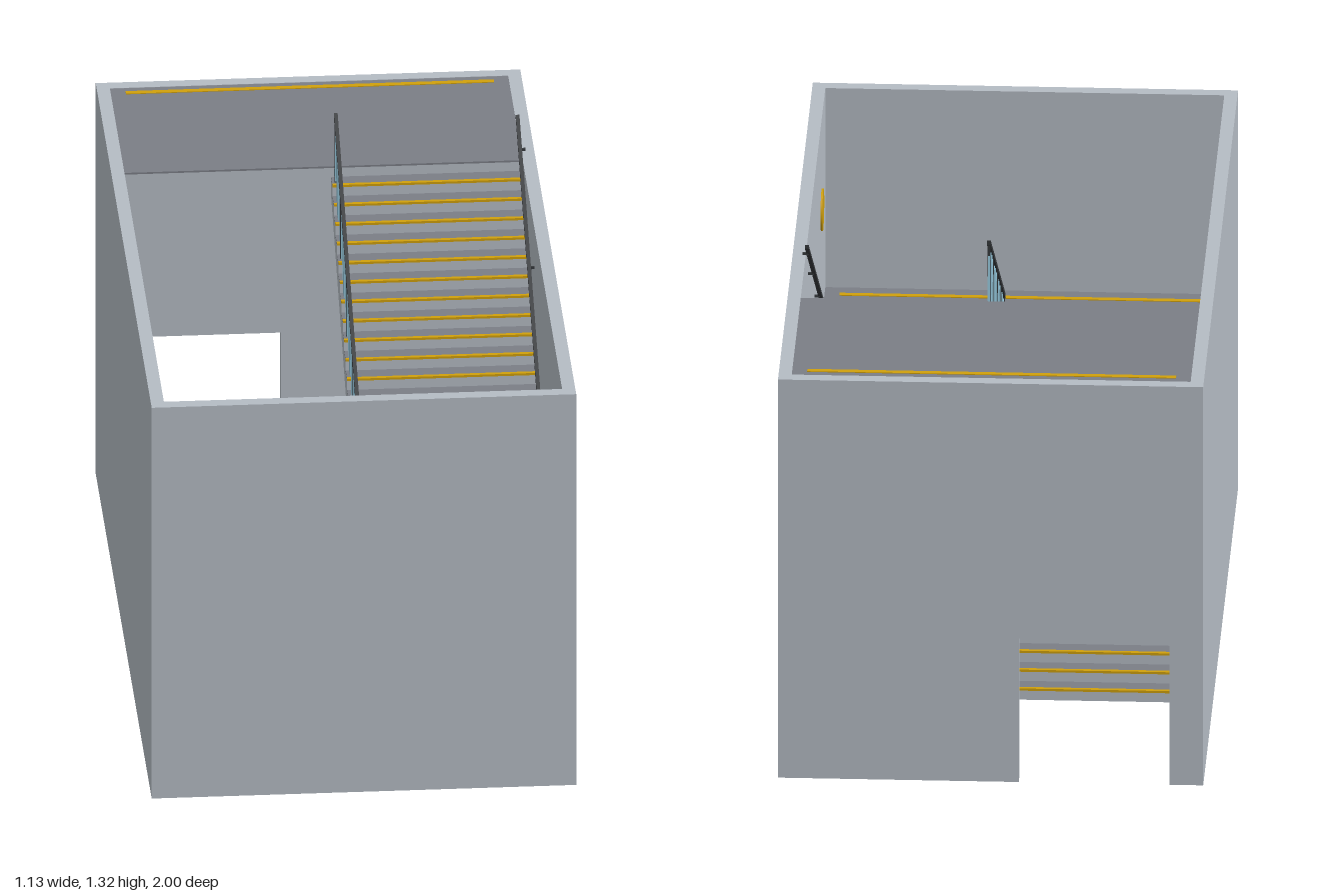
import * as THREE from 'three';

const mat = (name, color) => {
  const m = new THREE.MeshStandardMaterial({ color });
  m.name = name;
  return m;
};

const W = 0.565, T = 0.035, H = 1.15;        // half width, wall thickness, height
const IN = W - T, WELL = 0.02;               // inner wall face, half width of the stairwell gap
const Z0 = -0.446, N = 17;                   // start of a flight, treads per flight
const G = -2 * Z0 / N, R = 0.575 / (N + 1);  // going and rise
const nose = z => R + (z - Z0) * R / G;      // pitch line through the nosings

export function createModel() {
  const wall = mat('pale concrete', 0xb5bcc4);
  const floor = mat('grey floor', 0x7b7e86);
  const yellow = mat('safety yellow', 0xd0a00c);
  const metal = mat('dark metal', 0x35383b);
  const glass = mat('blue glass', 0x8fc0d4);

  const add = (parent, name, geometry, material) => {
    const m = new THREE.Mesh(geometry, material);
    m.name = name;
    parent.add(m);
    return m;
  };
  // box given by its limits
  const box = (parent, name, material, x0, x1, y0, y1, z0, z1) => {
    const g = new THREE.BoxGeometry(x1 - x0, y1 - y0, z1 - z0);
    g.translate((x0 + x1) / 2, (y0 + y1) / 2, (z0 + z1) / 2);
    return add(parent, name, g, material);
  };
  // outline of [z, y] points, extruded across x from x0 to x1
  const across = (parent, name, material, pts, x0, x1) => {
    const s = new THREE.Shape(pts.map(p => new THREE.Vector2(p[0], p[1])));
    const g = new THREE.ExtrudeGeometry(s, { depth: x1 - x0, bevelEnabled: false });
    g.rotateY(-Math.PI / 2);
    g.translate(x1, 0, 0);
    return add(parent, name, g, material);
  };
  // bar parallel to the pitch line, its top "up" above it
  const slopedBar = (parent, name, x, up, size) => across(parent, name, metal, [
    [-0.425, nose(-0.425) + up - size], [0.425, nose(0.425) + up - size],
    [0.425, nose(0.425) + up], [-0.425, nose(-0.425) + up]], x - 0.005, x + 0.005);

  const model = new THREE.Group();
  model.name = 'stairwell';

  // outer walls, the back one with a doorway
  const shell = new THREE.Group();
  shell.name = 'walls';
  model.add(shell);
  box(shell, 'leftWall', wall, IN, W, 0, H, -1 + T, 1 - T);
  box(shell, 'rightWall', wall, -W, -IN, 0, H, -1 + T, 1 - T);
  box(shell, 'frontWall', wall, -W, W, 0, H, 1 - T, 1);
  const back = new THREE.Shape([[-W, 0], [-0.475, 0], [-0.475, 0.415], [-0.075, 0.415],
    [-0.075, 0], [W, 0], [W, H], [-W, H]].map(p => new THREE.Vector2(...p)));
  add(shell, 'backWall', new THREE.ExtrudeGeometry(back, { depth: T, bevelEnabled: false }), wall)
    .position.z = -1;

  // landings with warning strips
  const landing = (name, y0, y1, z0, z1, zs) => {
    const g = new THREE.Group();
    g.name = name;
    model.add(g);
    box(g, name + 'Slab', wall, -IN, IN, y0, y1 - 0.005, z0, z1);
    box(g, name + 'Floor', floor, -IN, IN, y1 - 0.005, y1, z0, z1);
    box(g, name + 'Strip', yellow, -0.49, 0.49, y1, y1 + 0.002, zs - 0.008, zs + 0.008);
  };
  landing('middleLanding', 0, 0.575, -Z0, 1 - T, 0.917);
  landing('topLanding', 1.09, H - 0.001, -1 + T, Z0, -0.935);

  // one flight climbing towards +z on the -x side
  const flight = (name, solid) => {
    const f = new THREE.Group();
    f.name = name;
    model.add(f);
    const pts = [];
    for (let k = 0; k < N; k++) {
      const z = Z0 + k * G, y = (k + 1) * R;
      pts.push([z, y - 0.004], [z + G, y - 0.004]);
      box(f, 'tread', floor, -IN, -WELL, y - 0.004, y, z, z + G);
      box(f, 'nosing', yellow, -IN + 0.01, -WELL, y - 0.005, y + 0.0012, z - 0.002, z + 0.009);
    }
    // underside: down to the ground, or a sloping soffit
    if (solid) pts.push([-Z0, 0], [Z0, 0]);
    else pts.push([-Z0, N * R - 0.055], [Z0 + G, -0.045], [Z0, -0.045]);
    across(f, 'stairBody', wall, pts.reverse(), -IN, -WELL);

    // inner railing: handrail, posts and alternating tapered glass blades
    const x = -0.031;
    slopedBar(f, 'innerHandrail', x, 0.178, 0.014);
    for (const z of [-0.415, -0.21, 0, 0.21, 0.415])
      box(f, 'post', metal, x - 0.004, x + 0.004, nose(z) - 0.03, nose(z) + 0.17, z - 0.004, z + 0.004);
    for (let k = 0; k < N; k++) {
      const z = Z0 + (k + 0.5) * G, y = nose(z);
      const blade = k % 2
        ? [[z - 0.022, y - 0.01], [z - 0.012, y - 0.01], [z + 0.02, y + 0.15], [z - 0.02, y + 0.145]]
        : [[z - 0.016, y - 0.01], [z + 0.022, y - 0.01], [z - 0.004, y + 0.155], [z - 0.016, y + 0.15]];
      across(f, 'glassBlade', glass, blade, x - 0.003, x + 0.003);
    }

    // wall handrail on brackets
    slopedBar(f, 'wallHandrail', -0.515, 0.156, 0.011);
    for (const z of [-0.34, 0.02, 0.34])
      box(f, 'bracket', metal, -IN, -0.515, nose(z) + 0.143, nose(z) + 0.149, z - 0.004, z + 0.004);
    return f;
  };
  flight('lowerFlight', true);
  const upper = flight('upperFlight', false);
  upper.rotation.y = Math.PI;
  upper.position.y = 0.575;

  // round floor markers on the side walls
  for (const [s, y] of [[1, 0.895], [-1, 0.3]]) {
    const d = add(model, 'wallMarker', new THREE.CylinderGeometry(0.057, 0.057, 0.006, 32), yellow);
    d.rotation.z = Math.PI / 2;
    d.position.set(s * (IN - 0.002), y, s * 0.74);
  }
  return model;
}
